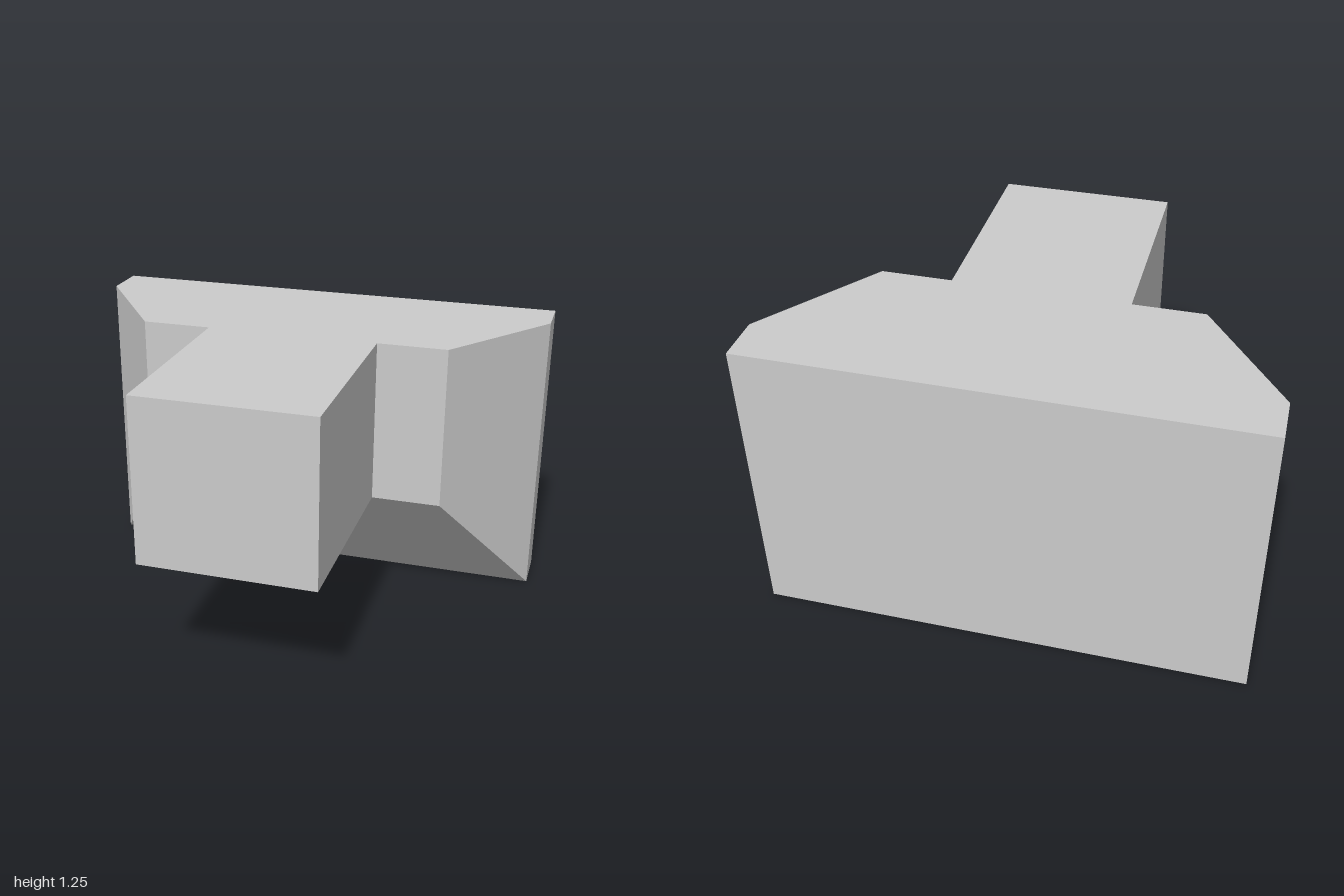
import * as THREE from 'three';

const HEIGHT = 1.245; // shared top level
const BACK = -0.76, SHOULDER = -0.565, FACE = -0.085, TIP = 0.76; // stations along z
const ARM_BOTTOM = 0.56;

export function createModel() {
  const group = new THREE.Group();
  const material = new THREE.MeshStandardMaterial({ color: 0xcccccc, flatShading: true });

  // Back plate whose front half tapers at the sides and bottom; the top stays flat
  const box = new THREE.BoxGeometry(2, HEIGHT, 2, 1, 1, 2);
  const p = box.attributes.position;
  for (let i = 0; i < p.count; i++) {
    const station = p.getZ(i);
    const front = station > 0.5;
    const x = Math.sign(p.getX(i)) * (front ? 0.65 : 1);
    const y = p.getY(i) > 0 ? HEIGHT : front ? ARM_BOTTOM : 0;
    p.setXYZ(i, x, y, front ? FACE : station < -0.5 ? BACK : SHOULDER);
  }
  const plateGeometry = box.toNonIndexed();
  plateGeometry.computeVertexNormals();
  const plate = new THREE.Mesh(plateGeometry, material);
  plate.name = 'taperedPlate';
  group.add(plate);

  // Square arm projecting forward from the plate
  const arm = new THREE.Mesh(
    new THREE.BoxGeometry(0.72, HEIGHT - ARM_BOTTOM, TIP - FACE),
    material
  );
  arm.position.set(0, (HEIGHT + ARM_BOTTOM) / 2, (TIP + FACE) / 2);
  arm.name = 'arm';
  group.add(arm);

  return group;
}
